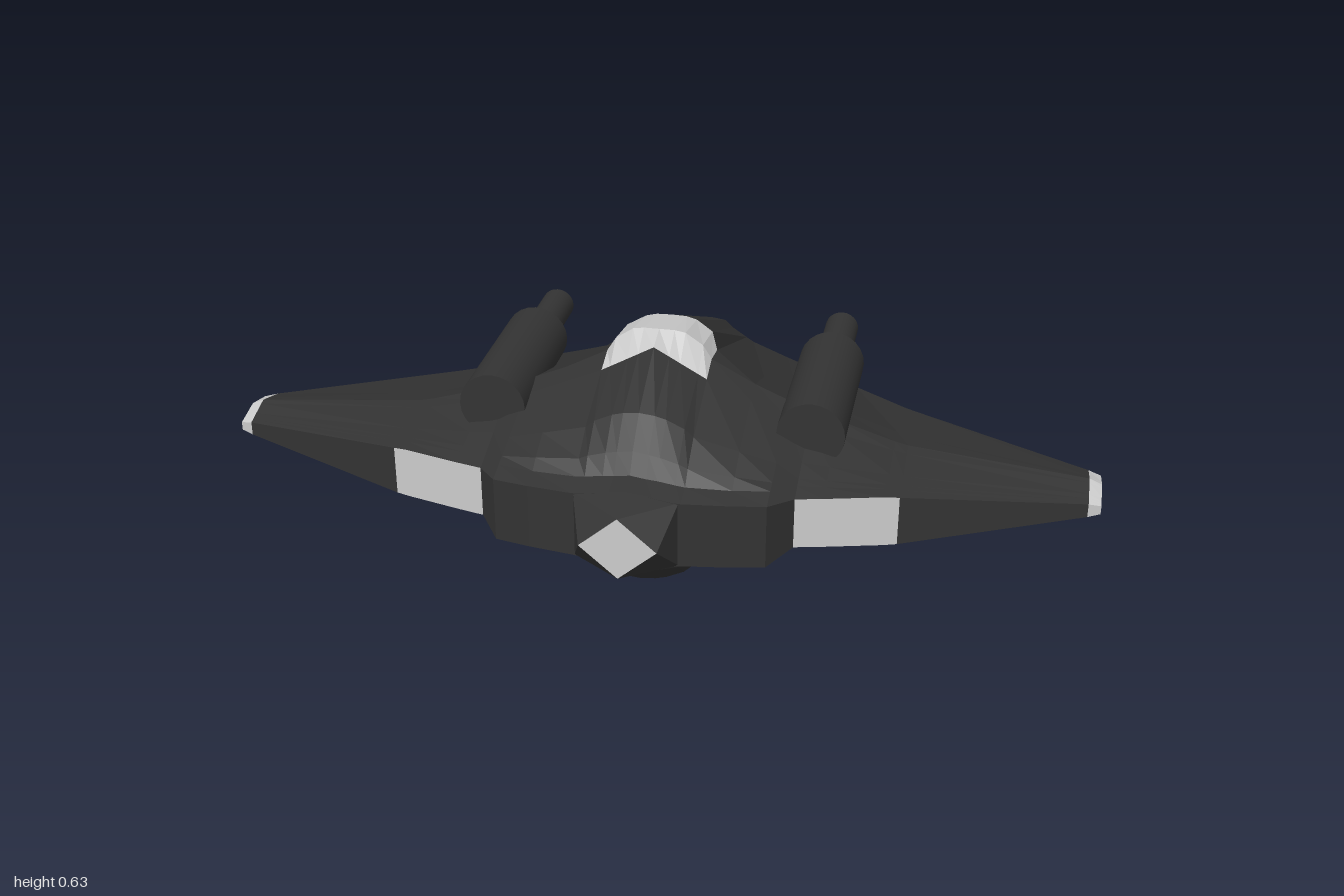
import * as THREE from 'three';

const MID = 0.318; // height of the plane the hull is mirrored in
const DARK = 0x333333;
const lerp = THREE.MathUtils.lerp;

// Half-wing stations: x, rear z, rear height, ridge height, front z, front height, bulge, [shoulder z, height]
const STATIONS = [
  [0, -0.56, 0.043, 0.313, 0.48, 0.095, 1, -0.022, 0.286],
  [0.035, -0.56, 0.038, 0.313, 0.48, 0.089, 1, -0.022, 0.285],
  [0.06, -0.542, 0.026, 0.309, 0.48, 0.085, 0.9, -0.018, 0.28],
  [0.1, -0.514, 0.015, 0.282, 0.48, 0.079, 0.75, 0, 0.262],
  [0.12, -0.5, 0.01, 0.25, 0.478, 0.077, 0.6, 0.05, 0.24],
  [0.22, -0.428, 0.008, 0.197, 0.465, 0.076, 0.35],
  [0.3, -0.371, 0.008, 0.163, 0.45, 0.075, 0],
  [0.35, -0.336, 0.009, 0.145, 0.38, 0.06, 0],
  [0.41, -0.29, 0.01, 0.125, 0.366, 0.06, 0],
  [0.54, -0.182, 0.019, 0.085, 0.332, 0.06, 0],
  [0.57, -0.167, 0.018, 0.078, 0.325, 0.058, 0],
  [0.972, 0.035, 0.013, 0.038, 0.198, 0.016, 0],
  [1, 0.05, 0.01, 0.026, 0.19, 0.01, 0],
];
const RIDGE_Z = 0.12;
const FRONT_STEPS = [[0.167, 0.02], [0.6, 0.028], [0.78, 0.007], [0.86, -0.019], [1, 0]];

// Points of one station from the rear edge over the ridge to the front edge
function section([x, zr, hr, hm, zf, hf, bulge, zs, hs]) {
  const shoulder = zs === undefined ? [lerp(RIDGE_Z, zr, 0.25), lerp(hm, hr, 0.25)] : [zs, hs];
  const pts = [[x, hr, zr], [x, shoulder[1], shoulder[0]], [x, hm, RIDGE_Z]];
  FRONT_STEPS.forEach(([t, b], k) => {
    const h = k === 0 && x <= 0.12 ? 0.295 - 0.56 * x : lerp(hm, hf, t) + b * bulge;
    pts.push([x, h, lerp(RIDGE_Z, zf, t)]);
  });
  return pts;
}

export function createModel() {
  const model = new THREE.Group();
  const parts = {
    hull: DARK, canopies: 0xcccccc, frontPanels: 0xcccccc, rearPanels: 0xcccccc,
    wingTips: 0xcccccc, noseLight: 0xcccccc, tailLight: 0xd0604c,
  };
  const faces = Object.fromEntries(Object.keys(parts).map((name) => [name, []]));

  // Adds a polygon of one quarter and its three mirror copies
  function addFace(part, ...corners) {
    for (const sx of [1, -1]) for (const sy of [1, -1]) {
      const p = corners.map(([x, y, z]) => [x * sx, MID + y * sy, z]);
      if (sx * sy < 0) p.reverse();
      for (let k = 2; k < p.length; k++) faces[part].push(...p[0], ...p[k - 1], ...p[k]);
    }
  }
  const flat = ([x, , z]) => [x, 0, z];

  // Hull skin with its front and rear edge walls
  const rows = STATIONS.map(section);
  const last = FRONT_STEPS.length + 2;
  for (let i = 0; i < rows.length - 1; i++) {
    const a = rows[i], b = rows[i + 1];
    const x = (a[0][0] + b[0][0]) / 2;
    const tip = i === rows.length - 2;
    for (let j = 0; j < last; j++) {
      const canopy = x < 0.12 && (j === 1 || j === 2);
      addFace(tip ? 'wingTips' : canopy ? 'canopies' : 'hull', a[j], a[j + 1], b[j + 1], b[j]);
    }
    const front = tip ? 'wingTips' : x > 0.35 && x < 0.57 ? 'frontPanels' : 'hull';
    addFace(front, flat(a[last]), flat(b[last]), b[last], a[last]);
    const rear = tip ? 'wingTips' : x < 0.035 ? 'tailLight' : x > 0.41 && x < 0.54 ? 'rearPanels' : 'hull';
    addFace(rear, flat(a[0]), a[0], b[0], flat(b[0]));
  }

  // Outer ends of the wings
  const end = rows[rows.length - 1];
  for (let j = 0; j < last; j++) addFace('wingTips', flat(end[j]), end[j], end[j + 1], flat(end[j + 1]));

  // Faceted nose block with a diamond-shaped front light
  const top = [0, 0.095, 0.48], corner = [0.115, 0.077, 0.475], side = [0.115, 0, 0.475];
  const tipTop = [0, 0.073, 0.56], tipSide = [0.085, 0, 0.56];
  addFace('hull', top, tipTop, corner);
  addFace('hull', tipTop, tipSide, corner);
  addFace('hull', tipSide, side, corner);
  addFace('noseLight', [0, 0, 0.56], tipSide, tipTop);

  for (const [name, color] of Object.entries(parts)) {
    const geometry = new THREE.BufferGeometry();
    geometry.setAttribute('position', new THREE.Float32BufferAttribute(faces[name], 3));
    geometry.computeVertexNormals();
    const mesh = new THREE.Mesh(geometry, new THREE.MeshStandardMaterial({ color, flatShading: true }));
    mesh.name = name;
    model.add(mesh);
  }

  // Engine pods: a wide body and a thin pipe behind it
  const podMaterial = new THREE.MeshStandardMaterial({ color: DARK });
  function addTube(parent, name, radius, z0, z1, y) {
    const geometry = new THREE.CylinderGeometry(radius, radius, z1 - z0, 24).rotateX(Math.PI / 2);
    const mesh = new THREE.Mesh(geometry, podMaterial);
    mesh.position.set(0, y, (z0 + z1) / 2);
    mesh.name = name;
    parent.add(mesh);
  }
  for (const s of [1, -1]) {
    const pod = new THREE.Group();
    pod.name = s > 0 ? 'leftPod' : 'rightPod';
    pod.position.x = 0.362 * s;
    addTube(pod, 'podBody', 0.076, -0.15, 0.235, 0.459);
    addTube(pod, 'podPipe', 0.04, -0.355, -0.15, 0.456);
    model.add(pod);
  }
  return model;
}
